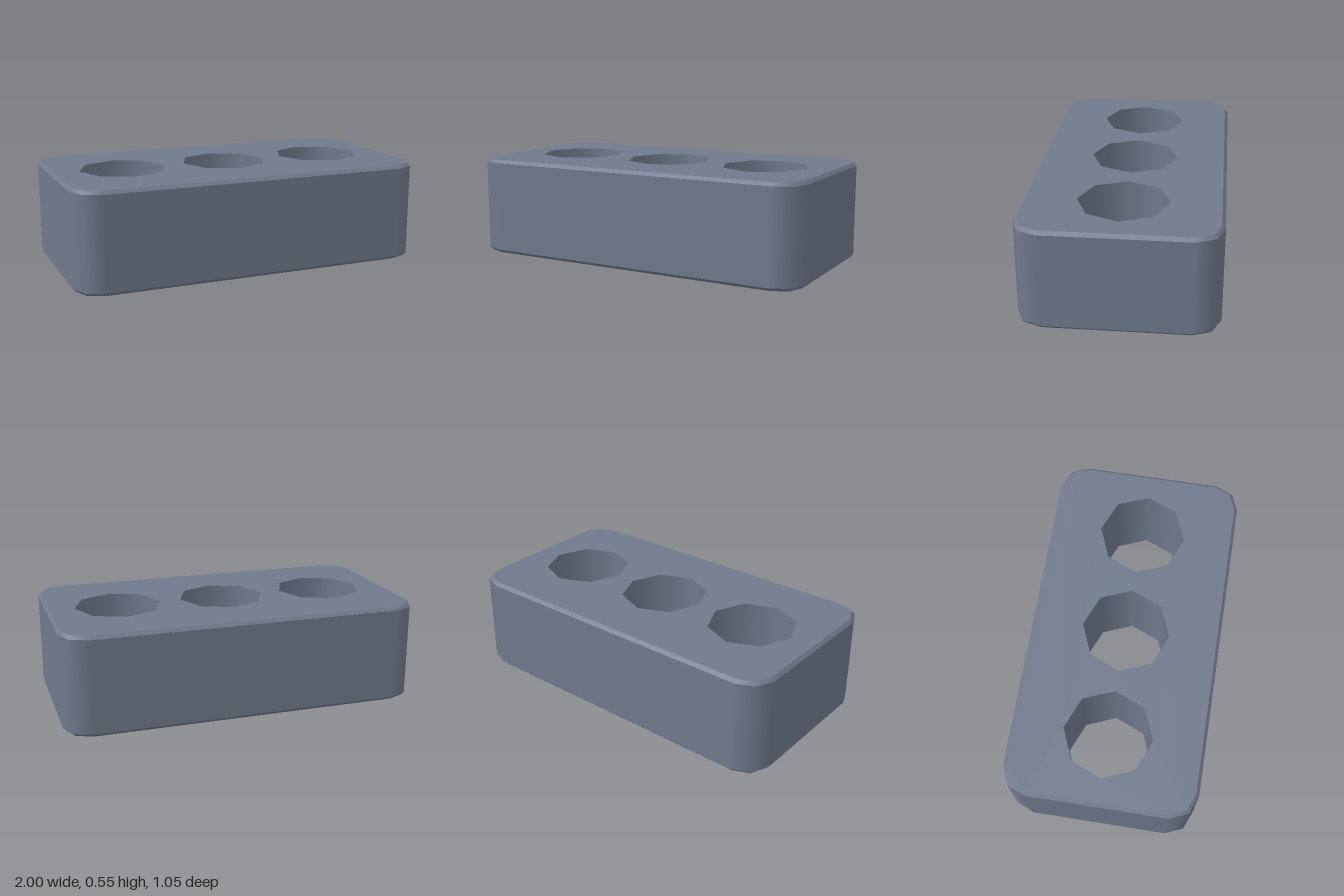
import * as THREE from 'three';

const HALF_X = 1, HALF_Z = 0.527, HEIGHT = 0.55;
const CORNER = 0.145, CHAMFER = 0.018;
const HOLE_RADIUS = 0.244, HOLE_SPACING = 0.605;

// Rounded rectangle, two segments per corner, each point with its outward direction
function outline(inset) {
  const ring = [];
  const r = CORNER - inset;
  [[1, 1], [-1, 1], [-1, -1], [1, -1]].forEach(([sx, sy], corner) => {
    for (let k = 0; k <= 2; k++) {
      const a = (corner + k / 2) * Math.PI / 2;
      const nx = Math.cos(a), ny = Math.sin(a);
      ring.push({ x: sx * (HALF_X - CORNER) + r * nx, y: sy * (HALF_Z - CORNER) + r * ny, nx, ny });
    }
  });
  return ring;
}

// Eight-sided hole outline, running the other way with inward directions
function holeOutline(cx) {
  return Array.from({ length: 8 }, (_, i) => {
    const a = -i * Math.PI / 4;
    const c = Math.cos(a), s = Math.sin(a);
    return { x: cx + HOLE_RADIUS * c, y: HOLE_RADIUS * s, nx: -c, ny: -s };
  });
}

// Smooth band between two matching rings; tilt is the upward part of its normals
function band(low, lowY, high, highY, tilt = 0) {
  const position = [], normal = [], index = [];
  const flat = Math.sqrt(1 - tilt * tilt);
  const n = low.length;
  [[low, lowY], [high, highY]].forEach(([ring, y]) => ring.forEach((p) => {
    position.push(p.x, y, -p.y);
    normal.push(p.nx * flat, tilt, -p.ny * flat);
  }));
  for (let i = 0; i < n; i++) {
    const j = (i + 1) % n;
    index.push(i, j, n + j, i, n + j, n + i);
  }
  const g = new THREE.BufferGeometry();
  g.setAttribute('position', new THREE.Float32BufferAttribute(position, 3));
  g.setAttribute('normal', new THREE.Float32BufferAttribute(normal, 3));
  g.setIndex(index);
  return g;
}

export function createModel() {
  const group = new THREE.Group();
  group.name = 'threeHoleBlock';
  const material = new THREE.MeshStandardMaterial({ color: 0x6f7a8c });
  const add = (name, geometry) => {
    const mesh = new THREE.Mesh(geometry, material);
    mesh.name = name;
    group.add(mesh);
    return mesh;
  };

  const outer = outline(0), inner = outline(CHAMFER);
  const holes = [-1, 0, 1].map((i) => holeOutline(i * HOLE_SPACING));
  const toPoints = (ring) => ring.map((p) => new THREE.Vector2(p.x, p.y));

  // Side walls and chamfered rims
  add('sideWalls', band(outer, CHAMFER, outer, HEIGHT - CHAMFER));
  add('topChamfer', band(outer, HEIGHT - CHAMFER, inner, HEIGHT, Math.SQRT1_2));
  add('bottomChamfer', band(inner, 0, outer, CHAMFER, -Math.SQRT1_2));

  // Flat faces pierced by the holes
  const face = new THREE.Shape(toPoints(inner));
  holes.forEach((ring) => face.holes.push(new THREE.Path(toPoints(ring))));
  add('topFace', new THREE.ShapeGeometry(face).rotateX(-Math.PI / 2)).position.y = HEIGHT;
  add('bottomFace', new THREE.ShapeGeometry(face).rotateX(Math.PI / 2));

  // Walls of the through holes
  ['rightHole', 'middleHole', 'leftHole'].forEach((name, i) => {
    add(name, band(holes[i], 0, holes[i], HEIGHT));
  });
  return group;
}
